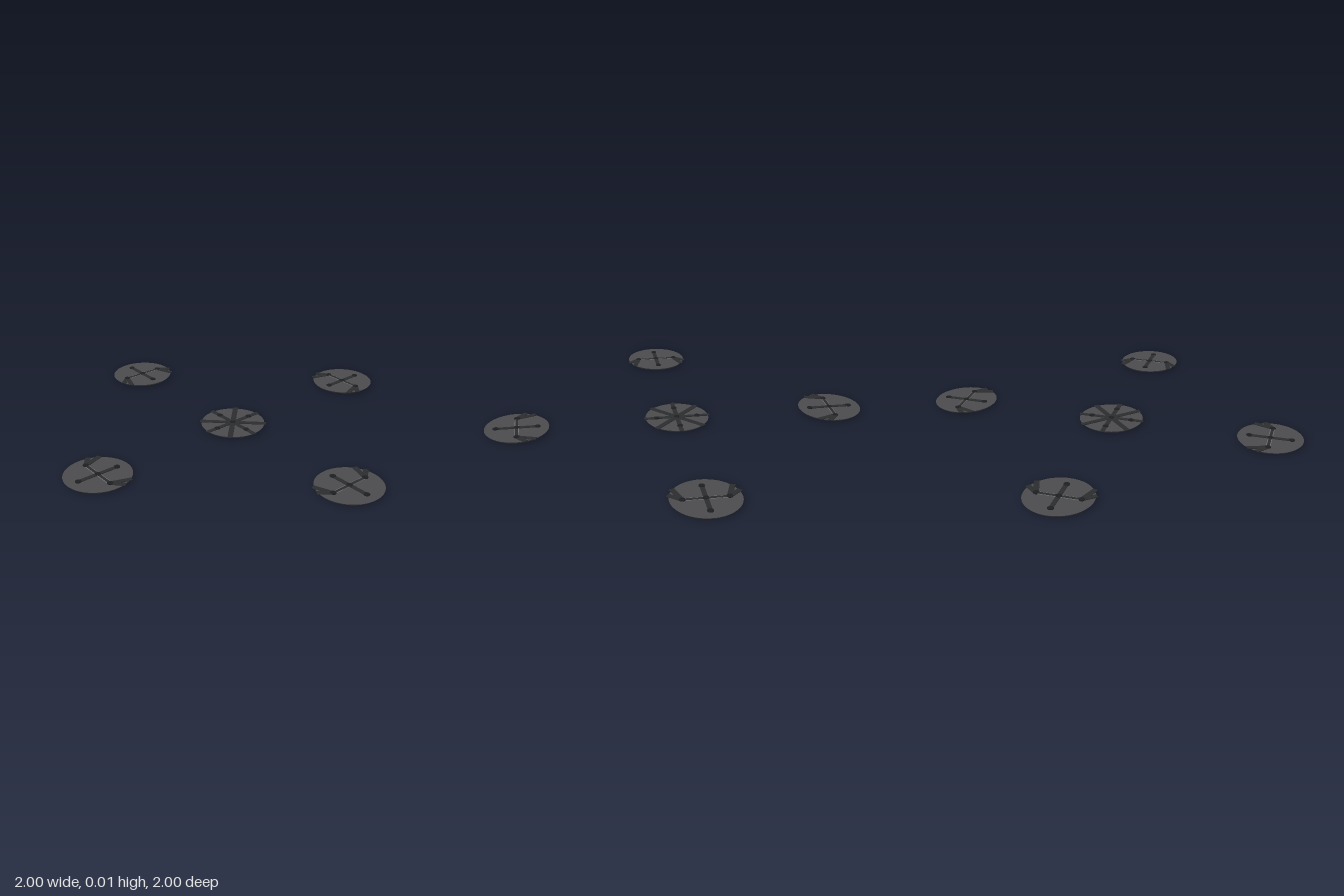
import * as THREE from 'three';

const plateMat = new THREE.MeshStandardMaterial({ color: 0x4c4c4e });
const barMat = new THREE.MeshStandardMaterial({ color: 0x2c2d2f });
const hubMat = new THREE.MeshStandardMaterial({ color: 0x1e1f22 });
const trimMat = new THREE.MeshStandardMaterial({ color: 0x707174 });

const R = 0.166;      // plate radius
const TOP = 0.01;     // plate top height
const HUB = 0.107;    // distance of the studs from the plate centre

function add(parent, name, geometry, material, x, y, z) {
  const mesh = new THREE.Mesh(geometry, material);
  mesh.name = name;
  mesh.position.set(x, y, z);
  parent.add(mesh);
  return mesh;
}

// Round plate with a slightly undercut rim
function plate(parent) {
  add(parent, 'plate', new THREE.CylinderGeometry(R, R - 0.01, TOP, 64), plateMat, 0, TOP / 2, 0);
}

// Flat bar between two points [x, z] on the plate
function bar(parent, name, a, b, width, material = barMat, height = 0.003) {
  const dx = b[0] - a[0], dz = b[1] - a[1];
  const mesh = add(parent, name, new THREE.BoxGeometry(Math.hypot(dx, dz), height, width), material,
    (a[0] + b[0]) / 2, TOP + height / 2 - 0.0005, (a[1] + b[1]) / 2);
  mesh.rotation.y = -Math.atan2(dz, dx);
}

// Small round stud
function stud(parent, x, z) {
  add(parent, 'stud', new THREE.CylinderGeometry(0.015, 0.015, 0.004, 20), hubMat, x, TOP + 0.002, z);
}

// Studs at the centre and at four points around it
function studs(parent) {
  for (const [x, z] of [[0, 0], [HUB, 0], [-HUB, 0], [0, HUB], [0, -HUB]]) stud(parent, x, z);
}

// Central plate: eight spokes reaching just past the rim
function centrePlate() {
  const g = new THREE.Group();
  g.name = 'centrePlate';
  plate(g);
  for (let i = 0; i < 4; i++) {
    const a = i * Math.PI / 4, x = 0.174 * Math.cos(a), z = 0.174 * Math.sin(a);
    bar(g, 'spoke', [-x, -z], [x, z], i % 2 ? 0.027 : 0.023);
  }
  studs(g);
  return g;
}

// Outer plate: a cross with two forked arms that lean towards the centre (+z here)
function outerPlate() {
  const g = new THREE.Group();
  g.name = 'outerPlate';
  plate(g);
  bar(g, 'longBar', [0, -HUB], [0, HUB], 0.022);
  bar(g, 'crossBarTrim', [-HUB, 0], [HUB, 0], 0.022, trimMat, 0.002);
  bar(g, 'crossBar', [-HUB, 0], [HUB, 0], 0.015);
  for (const s of [-1, 1]) {
    bar(g, 'forkOuter', [s * HUB, 0], [s * 0.165, 0.048], 0.026);
    bar(g, 'forkInner', [s * HUB, 0], [s * 0.141, 0.098], 0.026);
  }
  studs(g);
  return g;
}

export function createModel() {
  const model = new THREE.Group();
  model.name = 'plateSet';
  model.add(centrePlate());
  for (let i = 0; i < 4; i++) {
    const arm = new THREE.Group();
    arm.name = 'plateArm';
    const p = outerPlate();
    p.position.z = -(1 - R);
    arm.add(p);
    arm.rotation.y = i * Math.PI / 2;
    model.add(arm);
  }
  return model;
}
